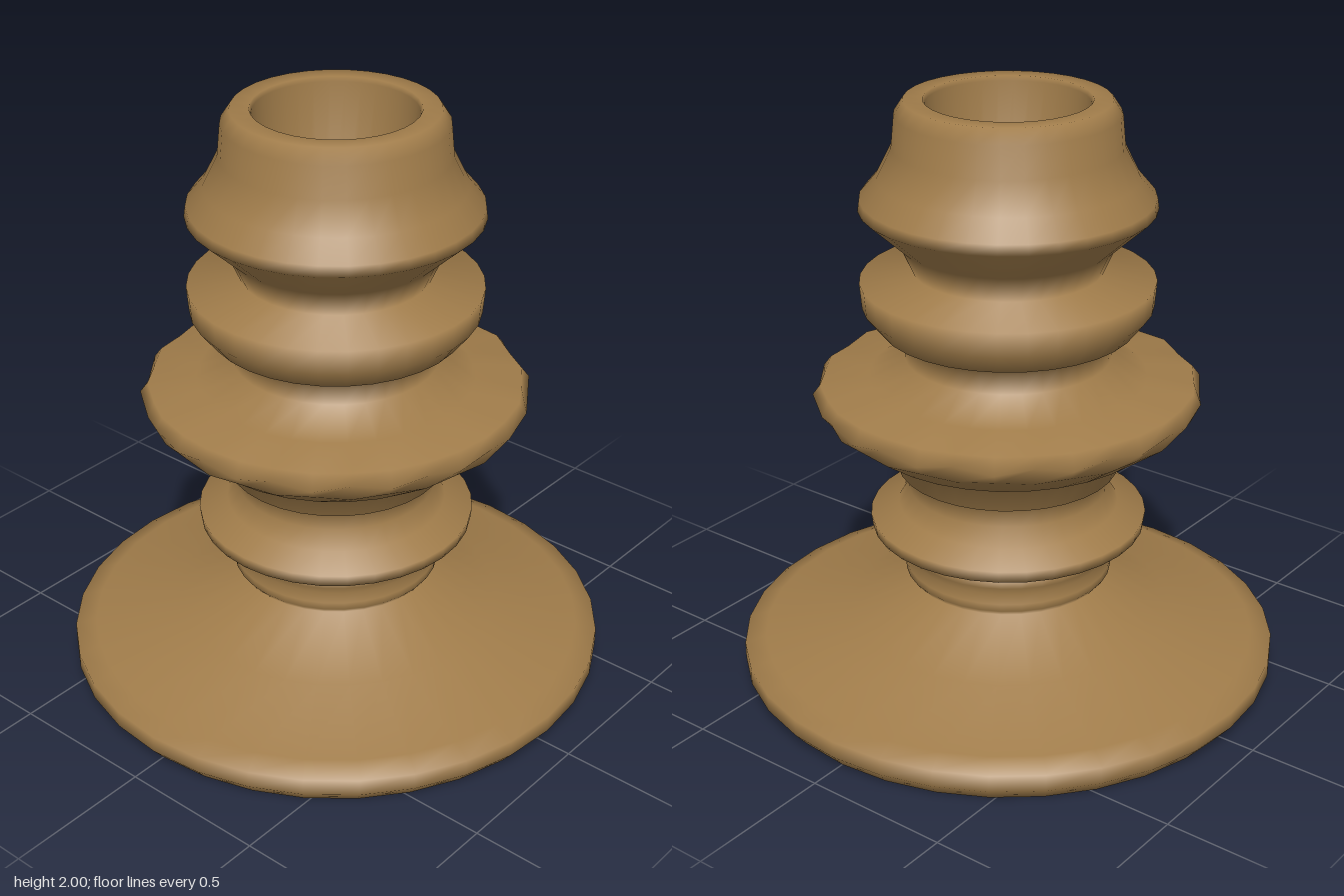
import * as THREE from 'three';

const SIDES = 32;

// Profile sections as [radius, height], each starting where the last one ends.
// Optional third value: [scale, drop] for every second vertex, making scallops.
const SECTIONS = {
  hollowUnderside: [[0, 0.32], [0.87, 0]],
  foot: [[0.912, 0.05], [0.912, 0.107], [0.84, 0.131], [0.56, 0.21], [0.335, 0.345]],
  neckBeads: [[0.35, 0.365], [0.35, 0.39], [0.335, 0.42], [0.352, 0.45], [0.35, 0.475], [0.325, 0.5]],
  lowerRing: [[0.46, 0.535], [0.465, 0.575], [0.37, 0.61], [0.335, 0.67], [0.33, 0.735]],
  cup: [[0.37, 0.745], [0.405, 0.867]],
  scallopedCollar: [
    [0.495, 0.878], [0.612, 0.96, [0.98, 0]], [0.645, 1.028, [0.981, 0.03]],
    [0.62, 1.06, [0.985, 0.008]], [0.46, 1.072], [0.34, 1.14], [0.33, 1.22],
  ],
  upperRing: [[0.42, 1.25], [0.475, 1.32], [0.482, 1.405], [0.31, 1.44]],
  socket: [
    [0.35, 1.53], [0.48, 1.65], [0.475, 1.685], [0.42, 1.75],
    [0.37, 1.85], [0.36, 1.955], [0.33, 2], [0.268, 2],
  ],
  bore: [[0.262, 1.985], [0.215, 1.5], [0, 1.5]],
};

// Ring of vertices for every profile point
function ringPositions(profile) {
  const positions = [];
  for (const [r, y, [scale, drop] = [1, 0]] of profile) {
    for (let i = 0; i < SIDES; i++) {
      const a = (i / SIDES) * Math.PI * 2;
      const odd = i % 2 === 1;
      const radius = odd ? r * scale : r;
      positions.push(Math.sin(a) * radius, odd ? y - drop : y, Math.cos(a) * radius);
    }
  }
  return new THREE.Float32BufferAttribute(positions, 3);
}

// Faces joining the rings from first to last
function ringFaces(first, last) {
  const index = [];
  for (let row = first; row < last; row++) {
    for (let i = 0; i < SIDES; i++) {
      const a = row * SIDES + i;
      const b = row * SIDES + (i + 1) % SIDES;
      index.push(a, b, b + SIDES, a, b + SIDES, a + SIDES);
    }
  }
  return index;
}

export function createModel() {
  const group = new THREE.Group();
  group.name = 'turnedHolder';
  const brass = new THREE.MeshStandardMaterial({ color: 0xa07c4a });
  brass.name = 'aged brass';

  // Whole turned surface, so shading runs smoothly from part to part
  const profile = Object.values(SECTIONS).flat();
  const whole = new THREE.BufferGeometry();
  whole.setAttribute('position', ringPositions(profile));
  whole.setIndex(ringFaces(0, profile.length - 1));
  whole.computeVertexNormals();

  // Smooth tip of the hollow under the foot
  for (let i = 0; i < SIDES; i++) whole.attributes.normal.setXYZ(i, 0, -1, 0);

  // One mesh for each section, sharing the surface's vertices
  let end = -1;
  for (const [name, points] of Object.entries(SECTIONS)) {
    const start = Math.max(end, 0);
    end += points.length;
    const geometry = new THREE.BufferGeometry();
    geometry.setAttribute('position', whole.attributes.position);
    geometry.setAttribute('normal', whole.attributes.normal);
    geometry.setIndex(ringFaces(start, end));
    const mesh = new THREE.Mesh(geometry, brass);
    mesh.name = name;
    group.add(mesh);
  }
  return group;
}
